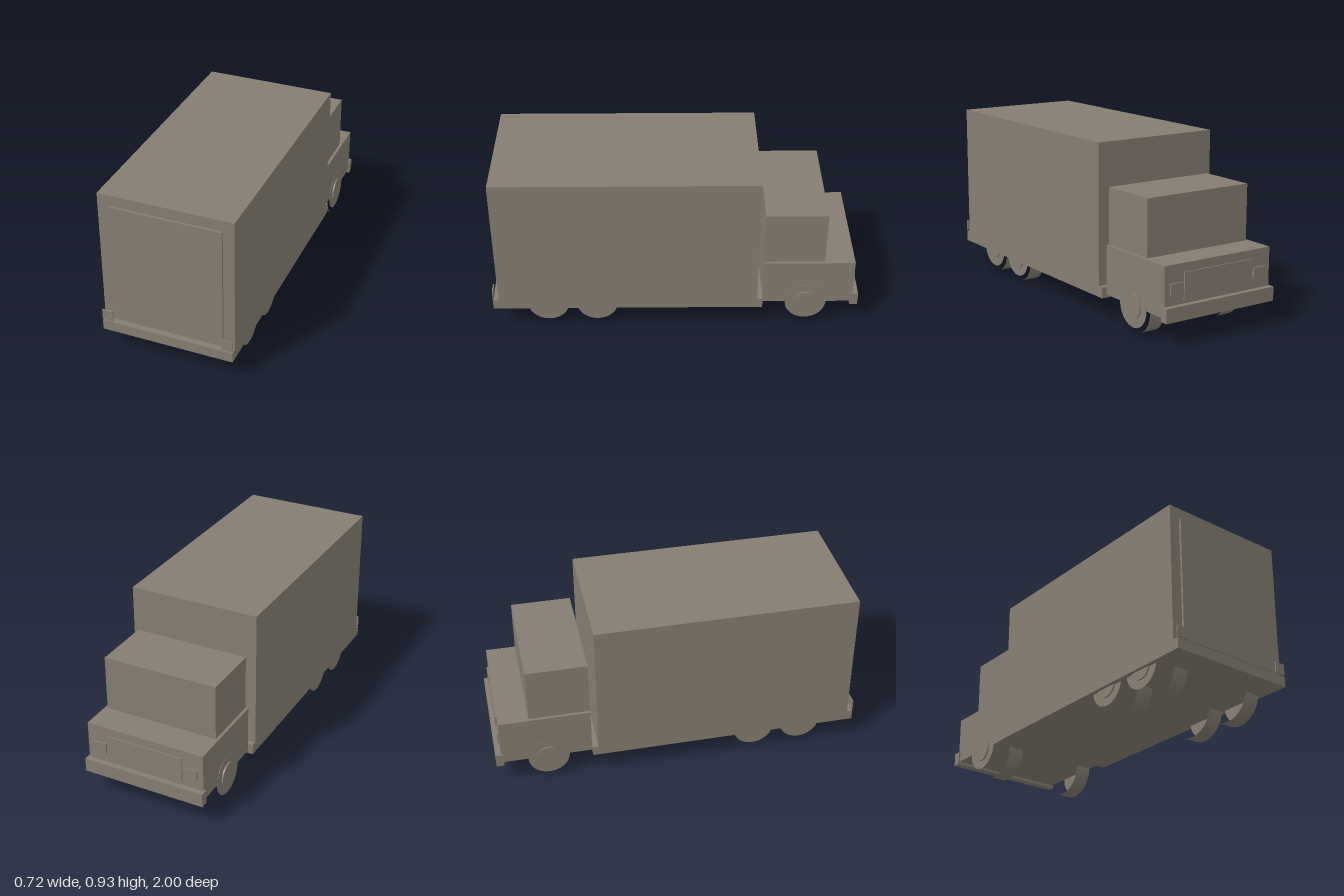
import * as THREE from 'three';

export function createModel() {
  const truck = new THREE.Group();
  truck.name = 'boxTruck';
  const paint = new THREE.MeshStandardMaterial({ color: 0x857d71 });
  paint.name = 'warmGrey';

  const add = (name, geometry, x, y, z) => {
    const mesh = new THREE.Mesh(geometry, paint);
    mesh.name = name;
    mesh.position.set(x, y, z);
    truck.add(mesh);
  };
  // Box given by its limits on each axis
  const box = (name, [x0, x1], [y0, y1], [z0, z1]) =>
    add(name, new THREE.BoxGeometry(x1 - x0, y1 - y0, z1 - z0),
      (x0 + x1) / 2, (y0 + y1) / 2, (z0 + z1) / 2);
  // Cylinder lying along x, given by its x limits
  const roller = (name, radius, [x0, x1], y, z, open = false) =>
    add(name, new THREE.CylinderGeometry(radius, radius, x1 - x0, 24, 1, open).rotateZ(Math.PI / 2),
      (x0 + x1) / 2, y, z);

  // Cargo body
  box('deck', [-0.36, 0.36], [0.123, 0.18], [-0.475, 1]);
  box('cargoBox', [-0.36, 0.36], [0.18, 0.932], [-0.445, 0.968]);
  box('rearDoor', [-0.3, 0.3], [0.197, 0.872], [0.968, 0.98]);

  // Cab, its nose pointing to -z
  box('cabBase', [-0.333, 0.333], [0.14, 0.404], [-0.97, -0.477]);
  box('cabTop', [-0.317, 0.317], [0.404, 0.705], [-0.806, -0.477]);
  box('bumper', [-0.342, 0.342], [0.123, 0.198], [-1, -0.957]);
  box('grille', [-0.215, 0.215], [0.212, 0.358], [-0.977, -0.97]);

  // Paired lights
  for (const s of [-1, 1]) {
    const span = (a, b) => (s > 0 ? [a, b] : [-b, -a]);
    box('headlight', span(0.225, 0.3), [0.25, 0.31], [-0.979, -0.97]);
    box('tailLight', span(0.3, 0.36), [0.187, 0.247], [0.994, 1]);
  }

  // Wheels: open tyre drum, rim disc and hub
  for (const z of [-0.713, 0.432, 0.7]) {
    for (const s of [-1, 1]) {
      const span = (a, b) => (s > 0 ? [a, b] : [-b, -a]);
      roller('tyre', 0.14, s > 0 ? [0.24, 0.33] : [-0.241, -0.152], 0.14, z, true);
      roller('rim', 0.113, span(0.332, 0.3345), 0.14, z);
      roller('hub', 0.067, span(0.3345, 0.342), 0.14, z);
    }
  }
  return truck;
}
